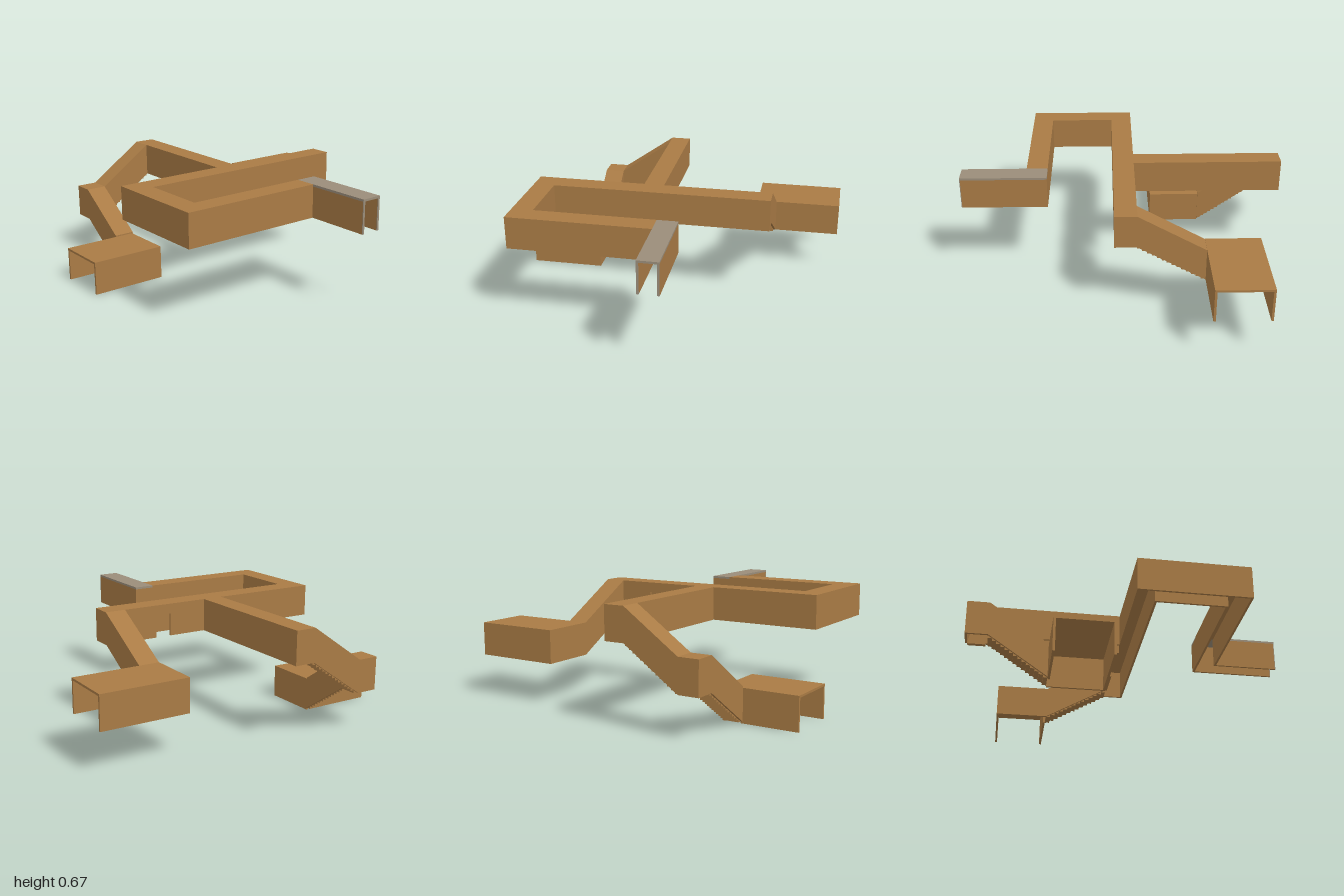
import * as THREE from 'three';

const T = 0.013; // wall and roof thickness

export function createModel() {
  const model = new THREE.Group();
  const brown = new THREE.MeshStandardMaterial({ color: 0xa97b45 });
  brown.name = 'brown panel';
  const grey = new THREE.MeshStandardMaterial({ color: 0x9a8d7a });
  grey.name = 'grey panel';

  // Box between two corners
  function box(parent, name, x0, x1, y0, y1, z0, z1, mat = brown) {
    const geo = new THREE.BoxGeometry(x1 - x0, y1 - y0, z1 - z0);
    geo.translate((x0 + x1) / 2, (y0 + y1) / 2, (z0 + z1) / 2);
    const mesh = new THREE.Mesh(geo, mat);
    mesh.name = name;
    parent.add(mesh);
    return mesh;
  }

  function part(name) {
    const g = new THREE.Group();
    g.name = name;
    model.add(g);
    return g;
  }

  // Floorless section: walls and roofs as footprints [x0, x1, z0, z1]
  function section(name, y0, y1, walls, roofs) {
    const g = part(name);
    for (const [a, b, c, d] of walls) box(g, 'wall', a, b, y0, y1 - T, c, d);
    for (const [a, b, c, d] of roofs) box(g, 'roof', a, b, y1 - T, y1, c, d);
    return g;
  }

  // Sloped passage descending along local +z, with two walls, roof and stairs
  function stairway(name, width, run, rise, height, steps) {
    const g = part(name);
    const shear = (mesh) => {
      const p = mesh.geometry.attributes.position;
      for (let i = 0; i < p.count; i++) p.setY(i, p.getY(i) - (p.getZ(i) / run) * rise);
      mesh.geometry.computeVertexNormals();
    };
    const h = width / 2;
    shear(box(g, 'wall', -h, -h + T, 0, height - T, 0, run));
    shear(box(g, 'wall', h - T, h, 0, height - T, 0, run));
    shear(box(g, 'roof', -h, h, height - T, height, 0, run));
    const sr = rise / steps, sd = run / steps;
    for (let i = 0; i < steps; i++)
      box(g, 'step', -h + T, h - T, -sr * (i + 1), -sr * i, sd * i, sd * (i + 1));
    return g;
  }

  // Upper level corridors
  const Y0 = 0.472, Y1 = 0.67;
  const cross = section('crossCorridor', Y0, Y1, [
    [-0.88, -0.205 + T, -0.07, -0.07 + T],
    [-0.08 - T, 0.16, -0.07, -0.07 + T],
    [0.26, 0.47 + T, -0.07, -0.07 + T],
    [-0.75 - T, 0.595, 0.06 - T, 0.06],
    [0.595 - T, 0.595, -0.07, 0.06 - T],
  ], [[-0.88, 0.595, -0.07, 0.06]]);
  box(cross, 'doorLintel', 0.16, 0.26, 0.61, Y1 - T, -0.07, -0.07 + T);

  section('sideCorridor', Y0, Y1, [
    [-0.88, -0.88 + T, -0.07 + T, 0.585],
    [-0.75 - T, -0.75, 0.06, 0.457 + T],
  ], [[-0.88, -0.75, 0.06, 0.457]]);

  section('frontCorridor', Y0, Y1, [
    [-0.75, 0.11, 0.457, 0.457 + T],
    [-0.88 + T, -0.015 + T, 0.585 - T, 0.585],
  ], [[-0.88, -0.015, 0.457, 0.585]]);

  section('backCorridor', Y0, Y1, [
    [-0.08 - T, -0.08, -0.985, -0.07],
    [-0.205, -0.205 + T, -0.86 - T, -0.07],
    [-0.205, -0.08 - T, -0.985, -0.985 + T],
  ], [[-0.205, -0.08, -0.985, -0.07]]);

  // Grey-roofed entrance with grey trim on its open end
  const entrance = section('entrance', Y0, Y1, [
    [-0.015, -0.015 + T, 0.585, 0.976],
    [0.11 - T, 0.11, 0.457 + T, 0.976],
  ], []);
  box(entrance, 'greyRoof', -0.015, 0.11, Y1 - T, Y1, 0.457, 0.98, grey);
  for (const x of [-0.015, 0.11 - T])
    box(entrance, 'greyTrim', x, x + T, Y0, Y1 - T, 0.976, 0.98, grey);

  // Stairs from the cross corridor down to the left room
  const leftStairs = stairway('leftStairs', 0.125, 0.395, 0.222, Y1 - Y0, 14);
  leftStairs.rotation.y = Math.PI;
  leftStairs.position.set(0.5325, Y0, -0.07);

  // Left room, open toward +x
  section('leftRoom', 0.25, 0.45, [
    [0.47, 1, -0.79, -0.79 + T],
    [0.595 - T, 1, -0.465 - T, -0.465],
    [0.47, 0.47 + T, -0.79 + T, -0.465],
  ], [[0.47, 1, -0.79, -0.465]]);

  // Upper stairs from the back corridor to the landing
  const upperStairs = stairway('upperStairs', 0.125, 0.335, 0.232, Y1 - Y0, 14);
  upperStairs.rotation.y = -Math.PI / 2;
  upperStairs.position.set(-0.205, Y0, -0.9225);

  // Corner landing
  section('landing', 0.24, 0.438, [
    [-0.665, -0.54, -0.985, -0.985 + T],
    [-0.665, -0.665 + T, -0.985 + T, -0.86],
    [-0.54 - T, -0.54, -0.86 - T, -0.86],
  ], [[-0.665, -0.54, -0.985, -0.86]]);

  // Lower stairs from the landing to the right room
  const lowerStairs = stairway('lowerStairs', 0.125, 0.332, 0.23, 0.198, 14);
  lowerStairs.position.set(-0.6025, 0.24, -0.86);

  // Right room, open toward -x
  section('rightRoom', 0, 0.2, [
    [-1, -0.545, -0.2 - T, -0.2],
    [-1, -0.665 + T, -0.528, -0.528 + T],
    [-0.545 - T, -0.545, -0.528, -0.2 - T],
  ], [[-1, -0.545, -0.528, -0.2]]);

  return model;
}
